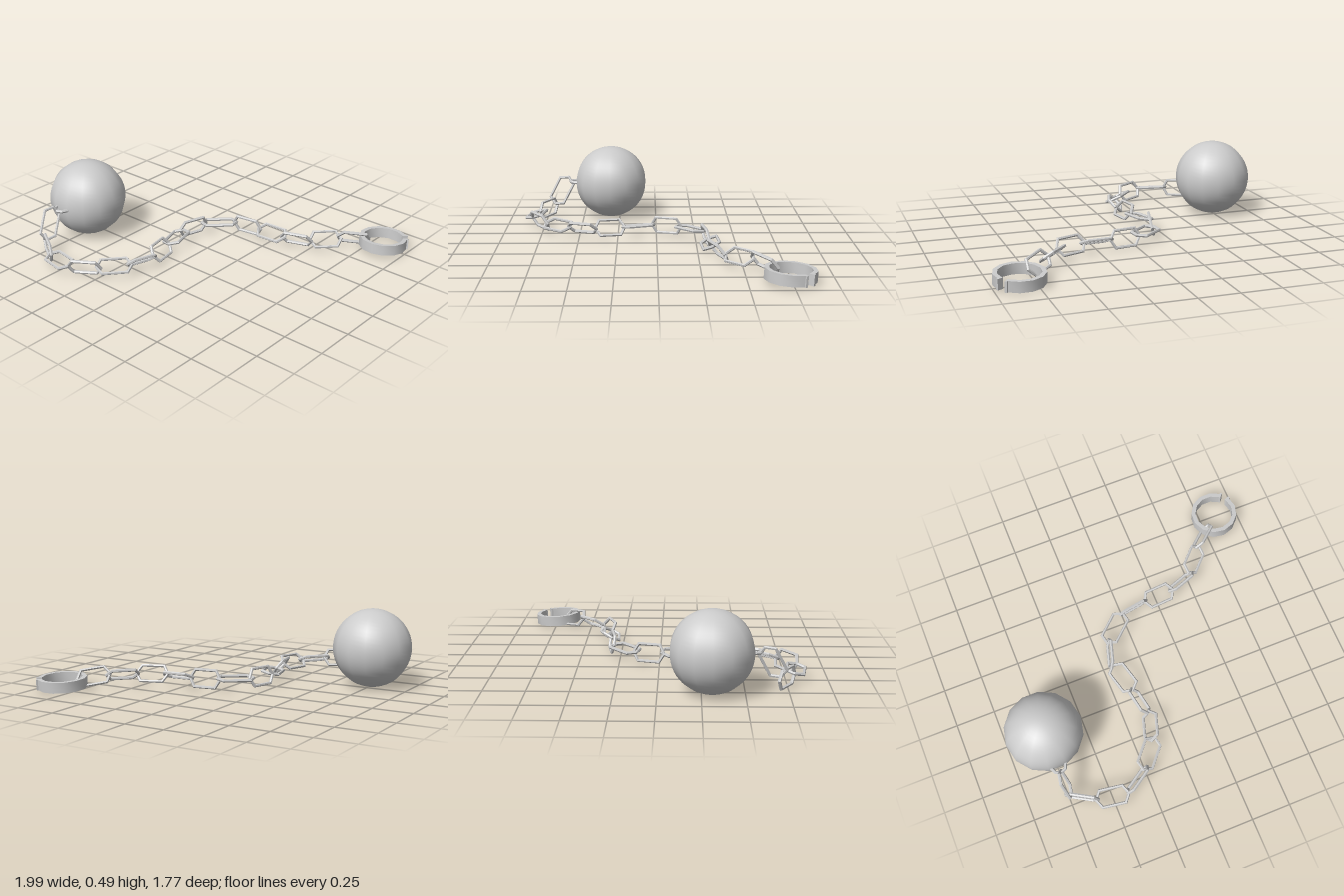
import * as THREE from 'three';
import { toCreasedNormals } from 'three/addons/utils/BufferGeometryUtils.js';

const material = new THREE.MeshStandardMaterial({ color: 0xcccccc });
const flatMaterial = new THREE.MeshStandardMaterial({ color: 0xcccccc, flatShading: true });

const WIRE = 0.0105; // thickness radius of the chain wire
const RING = 0.061; // radius of a link's six-sided end

// Six-sided ring pulled apart at the middle into a long link along x
function linkGeometry(length) {
  const geometry = new THREE.TorusGeometry(RING, WIRE, 6, 6);
  const stretch = length / 2 - WIRE - RING;
  const p = geometry.attributes.position;
  for (let i = 0; i < p.count; i++) p.setX(i, p.getX(i) + Math.sign(p.getX(i)) * stretch);
  geometry.computeVertexNormals();
  return geometry;
}

// A link from tip to tip; side is the direction of its width
function makeLink(start, end, side) {
  const along = end.clone().sub(start);
  const mesh = new THREE.Mesh(linkGeometry(along.length()), flatMaterial);
  along.normalize();
  const width = side.clone().addScaledVector(along, -side.dot(along)).normalize();
  const normal = along.clone().cross(width);
  mesh.quaternion.setFromRotationMatrix(new THREE.Matrix4().makeBasis(along, width, normal));
  mesh.position.copy(start).add(end).multiplyScalar(0.5);
  return mesh;
}

// Start x, y, z, end x, y, z and roll in degrees (0 lies flat, 90 stands up)
const LINKS = [
  [-0.775, 0.083, 0.685, -0.58, 0.077, 0.797, 88],
  [-0.615, 0.08, 0.79, -0.39, 0.08, 0.825, -12],
  [-0.415, 0.078, 0.83, -0.225, 0.078, 0.705, 65],
  [-0.27, 0.08, 0.73, -0.115, 0.08, 0.55, -25],
  [-0.15, 0.08, 0.58, -0.085, 0.08, 0.375, 42],
  [-0.1, 0.08, 0.405, -0.14, 0.08, 0.195, -54],
  [-0.13, 0.08, 0.228, -0.19, 0.083, 0.005, 10],
  [-0.207, 0.08, 0.04, -0.145, 0.08, -0.17, 77],
  [-0.175, 0.08, -0.135, 0.01, 0.085, -0.3, 5],
  [-0.027, 0.08, -0.29, 0.19, 0.08, -0.325, 78],
  [0.155, 0.083, -0.315, 0.38, 0.083, -0.33, -25],
  [0.335, 0.085, -0.32, 0.545, 0.085, -0.395, 56],
  [0.505, 0.085, -0.395, 0.66, 0.085, -0.555, -38],
  [0.62, 0.1, -0.535, 0.785, 0.07, -0.685, 56],
];

function makeChain() {
  const chain = new THREE.Group();
  chain.name = 'chain';
  const up = new THREE.Vector3(0, 1, 0);

  // Link hanging from the eyelet
  const hanging = makeLink(new THREE.Vector3(-0.765, 0.29, 0.6),
    new THREE.Vector3(-0.73, 0.09, 0.705), new THREE.Vector3(-0.3, 0.45, 0.85));
  hanging.name = 'hangingLink';
  chain.add(hanging);

  // Links lying on the ground
  LINKS.forEach(([ax, ay, az, bx, by, bz, roll], i) => {
    const start = new THREE.Vector3(ax, ay, az);
    const end = new THREE.Vector3(bx, by, bz);
    const flat = end.clone().sub(start).cross(up).normalize();
    const angle = THREE.MathUtils.degToRad(roll);
    const side = flat.multiplyScalar(Math.cos(angle)).addScaledVector(up, Math.sin(angle));
    const link = makeLink(start, end, side);
    link.name = `link${i + 1}`;
    chain.add(link);
  });
  return chain;
}

// Open twelve-sided band with a small flange at each end of the gap
function makeShackle() {
  const shackle = new THREE.Group();
  shackle.name = 'shackle';
  const height = 0.066, outer = 0.152, inner = 0.125;
  const from = THREE.MathUtils.degToRad(49), sweep = THREE.MathUtils.degToRad(338);
  const steps = 12;
  const ring = (r) => Array.from({ length: steps + 1 }, (_, i) => {
    const a = from + (sweep * i) / steps;
    return new THREE.Vector2(r * Math.cos(a), r * Math.sin(a));
  });
  const shape = new THREE.Shape([...ring(outer), ...ring(inner).reverse()]);
  const geometry = new THREE.ExtrudeGeometry(shape, { depth: height, bevelEnabled: false });
  geometry.translate(0, 0, -height / 2).rotateX(-Math.PI / 2);
  const band = new THREE.Mesh(toCreasedNormals(geometry, 0.7), material);
  band.name = 'band';
  shackle.add(band);

  for (const a of [from, from + sweep]) {
    const flange = new THREE.Mesh(new THREE.BoxGeometry(0.036, height, 0.014), flatMaterial);
    flange.name = 'flange';
    flange.position.set(0.142 * Math.cos(a), 0, -0.142 * Math.sin(a));
    flange.rotation.y = a;
    shackle.add(flange);
  }
  shackle.position.set(0.843, 0.057, -0.74);
  shackle.rotation.x = -0.06;
  return shackle;
}

export function createModel() {
  const model = new THREE.Group();
  model.name = 'ballAndChain';

  // Heavy ball, fourteen sides around
  const ball = new THREE.Mesh(new THREE.SphereGeometry(0.244, 14, 28), material);
  ball.name = 'ball';
  ball.position.set(-0.756, 0.253, 0.31);
  model.add(ball);

  // Eyelet half sunk into the ball
  const eyelet = new THREE.Mesh(new THREE.TorusGeometry(0.046, WIRE, 6, 8), flatMaterial);
  eyelet.name = 'eyelet';
  eyelet.rotation.x = Math.PI / 2;
  eyelet.position.set(-0.747, 0.253, 0.545);
  model.add(eyelet);

  model.add(makeChain(), makeShackle());
  return model;
}
